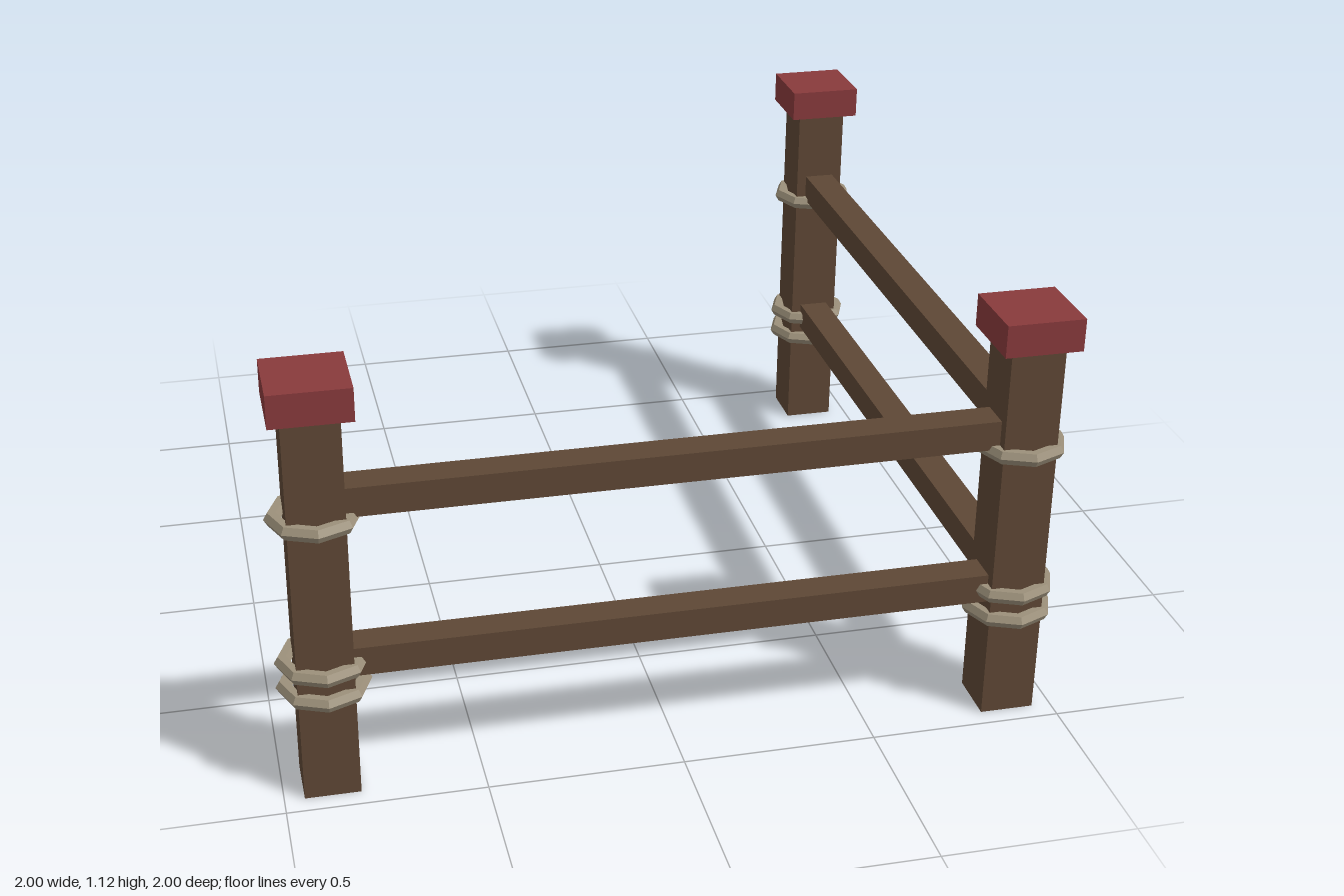
import * as THREE from 'three';

const D = 0.88; // distance of post axes from the centre

export function createModel() {
  const wood = new THREE.MeshStandardMaterial({ color: 0x5e4735 });
  const red = new THREE.MeshStandardMaterial({ color: 0x883a3c });
  const rope = new THREE.MeshStandardMaterial({ color: 0x9c907a });
  rope.flatShading = true;

  const model = new THREE.Group();
  model.name = 'cornerFence';

  const add = (parent, name, geometry, material, x, y, z) => {
    const mesh = new THREE.Mesh(geometry, material);
    mesh.name = name;
    mesh.position.set(x, y, z);
    parent.add(mesh);
    return mesh;
  };

  const postGeo = new THREE.BoxGeometry(0.14, 1.035, 0.14);
  const capGeo = new THREE.BoxGeometry(0.2, 0.085, 0.2);
  const ringGeo = new THREE.TorusGeometry(0.098, 0.02, 6, 8).rotateX(Math.PI / 2);

  // Posts, each with a cap and three rope rings
  for (const [name, x, z] of [['rightPost', -D, D], ['cornerPost', D, D], ['backPost', D, -D]]) {
    const group = new THREE.Group();
    group.name = name;
    group.position.set(x, 0, z);
    add(group, 'post', postGeo, wood, 0, 0.5175, 0);
    add(group, 'cap', capGeo, red, 0, 1.0775, 0);
    for (const y of [0.285, 0.355, 0.752]) add(group, 'ropeRing', ringGeo, rope, 0, y, 0);
    model.add(group);
  }

  // Two rails on each of the two fence sides
  const span = 2 * D - 0.13;
  const frontGeo = new THREE.BoxGeometry(span, 0.077, 0.084);
  const sideGeo = new THREE.BoxGeometry(0.084, 0.077, span);
  for (const y of [0.358, 0.796]) {
    add(model, 'frontRail', frontGeo, wood, 0, y, D);
    add(model, 'sideRail', sideGeo, wood, D, y, 0);
  }
  return model;
}
